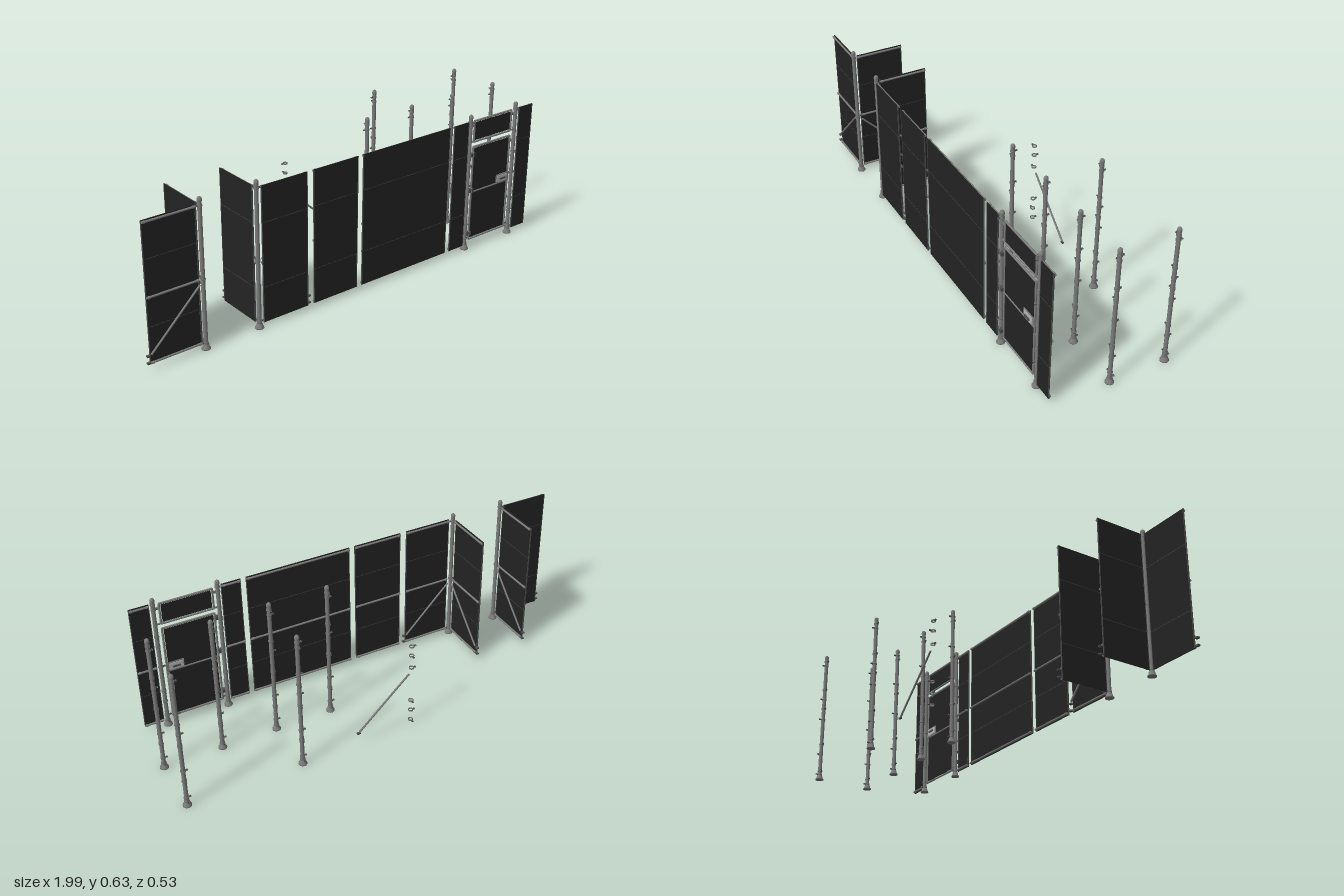
import * as THREE from 'three';

const mat = (name, color) => Object.assign(new THREE.MeshStandardMaterial({ color }), { name });
const steel = mat('galvanised steel', 0x7a7a7a);
const sheet = mat('black sheet', 0x232323);
const dark = mat('dark fitting', 0x4c4c4c);
const bright = mat('bright lock plate', 0xb4b4b4);

function add(parent, name, geo, m, x = 0, y = 0, z = 0) {
  const mesh = new THREE.Mesh(geo, m);
  mesh.name = name;
  mesh.position.set(x, y, z);
  parent.add(mesh);
  return mesh;
}
const box = (p, name, m, w, h, d, x, y, z) => add(p, name, new THREE.BoxGeometry(w, h, d), m, x, y, z);

// round bar between two points
function tube(p, name, a, b, r = 0.0045, m = steel) {
  const A = new THREE.Vector3(...a), B = new THREE.Vector3(...b);
  const mesh = add(p, name, new THREE.CylinderGeometry(r, r, A.distanceTo(B), 10), m);
  mesh.position.copy(A).lerp(B, 0.5);
  mesh.quaternion.setFromUnitVectors(new THREE.Vector3(0, 1, 0), B.sub(A).normalize());
  return mesh;
}

// band around a post with a bolted tab pointing along angle
function clamp(p, x, y, z, angle) {
  const g = new THREE.Group();
  g.name = 'clamp';
  g.position.set(x, y, z);
  g.rotation.y = angle;
  const band = new THREE.LatheGeometry([[0.0085, -0.003], [0.0105, -0.003], [0.0105, 0.003], [0.0085, 0.003], [0.0085, -0.003]]
    .map(q => new THREE.Vector2(...q)), 14);
  add(g, 'clampBand', band, steel);
  box(g, 'clampTab', dark, 0.01, 0.005, 0.005, 0.014, 0, 0);
  tube(g, 'clampBolt', [0.016, 0, -0.005], [0.016, 0, 0.005], 0.002);
  p.add(g);
}

const clampHeights = [0.026, 0.05, 0.123, 0.173, 0.296, 0.396, 0.445, 0.57, 0.592];

// post with flared foot and ball cap
function post(p, x, z, angles, heights = clampHeights) {
  const g = new THREE.Group();
  g.name = 'post';
  const profile = [[0, 0], [0.018, 0], [0.018, 0.004], [0.014, 0.009], [0.012, 0.019], [0.0085, 0.021],
    [0.0085, 0.607], [0.0098, 0.608], [0.0098, 0.615], [0.0078, 0.621], [0.004, 0.6245], [0, 0.6255]];
  add(g, 'postShaft', new THREE.LatheGeometry(profile.map(q => new THREE.Vector2(...q)), 16), steel);
  heights.forEach((y, i) => clamp(g, 0, y, 0, angles[i % angles.length]));
  g.position.set(x, 0, z);
  p.add(g);
}

// sheet panel spanning x0..x1; rails sit on the axis, sheet is offset to the other side
function panel(p, name, x0, x1, side, { rails = true, braceHigh, braceLow } = {}) {
  const g = new THREE.Group();
  g.name = name;
  const mid = (x0 + x1) / 2, w = x1 - x0, zs = -side * 0.006;
  box(g, 'sheet', sheet, w, 0.576, 0.003, mid, 0.309, zs);
  for (const x of [x0, x1]) box(g, 'edgeStrip', dark, 0.0025, 0.576, 0.005, x, 0.309, zs);
  for (const y of [0.445, 0.173]) box(g, 'seam', dark, w, 0.0015, 0.004, mid, y, zs);
  if (rails) {
    for (const y of [0.59, 0.295, 0.028]) {
      tube(g, 'rail', [x0, y, 0], [x1, y, 0]);
      for (const x of [x0 + 0.008, x1 - 0.008]) tube(g, 'railSleeve', [x - 0.004, y, 0], [x + 0.004, y, 0], 0.0058);
    }
  }
  if (braceHigh !== undefined) {
    tube(g, 'diagonalBrace', [braceHigh, 0.278, side * 0.006], [braceLow, 0.066, side * 0.006], 0.0042);
    const out = Math.sign(braceLow - braceHigh);
    for (const y of [0.03, 0.06]) box(g, 'endBracket', dark, 0.014, 0.006, 0.012, braceLow + out * 0.009, y, 0);
  }
  p.add(g);
  return g;
}

// rectangular tube frame with an inset sheet
function frame(p, name, x0, x1, y0, y1) {
  const g = new THREE.Group();
  g.name = name;
  box(g, 'infillSheet', sheet, x1 - x0 - 0.014, y1 - y0 - 0.014, 0.003, (x0 + x1) / 2, (y0 + y1) / 2, 0);
  for (const x of [x0, x1]) tube(g, 'frameUpright', [x, y0, 0], [x, y1, 0]);
  for (const y of [y0, y1]) tube(g, 'frameRail', [x0, y, 0], [x1, y, 0]);
  p.add(g);
  return g;
}

export function createModel() {
  const root = new THREE.Group();
  root.name = 'fenceKit';
  const Z = 0.247, PI = Math.PI;

  // corner posts and gate posts along the front line
  post(root, -0.745, Z, [PI, PI / 2], [0.028, 0.295, 0.59]);
  post(root, -0.5, Z, [0, PI / 2], [0.028, 0.295, 0.59]);
  post(root, 0.6, Z, [PI / 2, 0, -PI / 2]);
  post(root, 0.87, Z, [PI / 2, PI, -PI / 2]);
  // loose posts
  for (const x of [0.24, 0.49, 0.73, 0.98]) post(root, x, 0, [PI / 2, PI]);
  for (const x of [0.49, 0.98])
    post(root, x, -0.247, [PI / 2, PI], [0.026, 0.04, 0.123, 0.173, 0.295, 0.35, 0.396, 0.445, 0.57, 0.592]);

  // front line of panels
  const line = new THREE.Group();
  line.name = 'frontLine';
  line.position.z = Z;
  root.add(line);
  panel(line, 'leftCornerPanel', -0.98, -0.762, 1, { braceHigh: -0.762, braceLow: -0.98 });
  panel(line, 'bracedPanel', -0.482, -0.27, -1, { braceHigh: -0.482, braceLow: -0.27 });
  panel(line, 'narrowPanel', -0.238, -0.02, -1);
  panel(line, 'widePanel', 0.008, 0.474, -1);
  panel(line, 'gateSidePanel', 0.5, 0.582, -1);
  panel(line, 'gateSidePanel', 0.885, 0.966, -1);

  // side returns running back from the corner posts
  for (const x of [-0.745, -0.5]) {
    const g = panel(root, 'sideReturn', 0.018, 0.23, 1, { braceHigh: 0.018, braceLow: 0.23 });
    g.position.set(x, 0, Z);
    g.rotation.y = PI / 2;
  }

  // gate: transom above, door below
  frame(line, 'transom', 0.623, 0.845, 0.498, 0.592);
  const door = frame(line, 'door', 0.623, 0.845, 0.04, 0.475);
  tube(door, 'doorMidRail', [0.623, 0.265, 0], [0.845, 0.265, 0]);
  for (const y of [0.075, 0.28, 0.445]) {
    box(door, 'hinge', dark, 0.024, 0.016, 0.014, 0.612, y, 0.008);
    tube(door, 'hingePin', [0.612, y - 0.012, 0.013], [0.612, y + 0.012, 0.013], 0.003);
  }
  // lock with plate and handle on both faces
  box(door, 'lockBody', steel, 0.075, 0.04, 0.01, 0.81, 0.287, 0);
  for (const s of [-1, 1]) {
    box(door, 'lockPlate', bright, 0.06, 0.03, 0.003, 0.806, 0.287, s * 0.006);
    box(door, 'handle', dark, 0.034, 0.007, 0.005, 0.806, 0.287, s * 0.011);
  }
  for (const y of [0.5, 0.575]) for (const x of [0.61, 0.858])
    box(line, 'transomTie', steel, 0.026, 0.006, 0.006, x, y, 0);

  // loose brace and column of loose clamps
  tube(root, 'looseBrace', [0.006, 0.27, -0.25], [0.235, 0.06, -0.25], 0.0042);
  box(root, 'braceEnd', dark, 0.014, 0.006, 0.01, 0.238, 0.055, -0.25);
  [0.03, 0.08, 0.13, 0.295, 0.355, 0.4].forEach((y, i) => clamp(root, -0.006, y, -0.247, i % 2 ? PI : PI / 2));
  return root;
}
